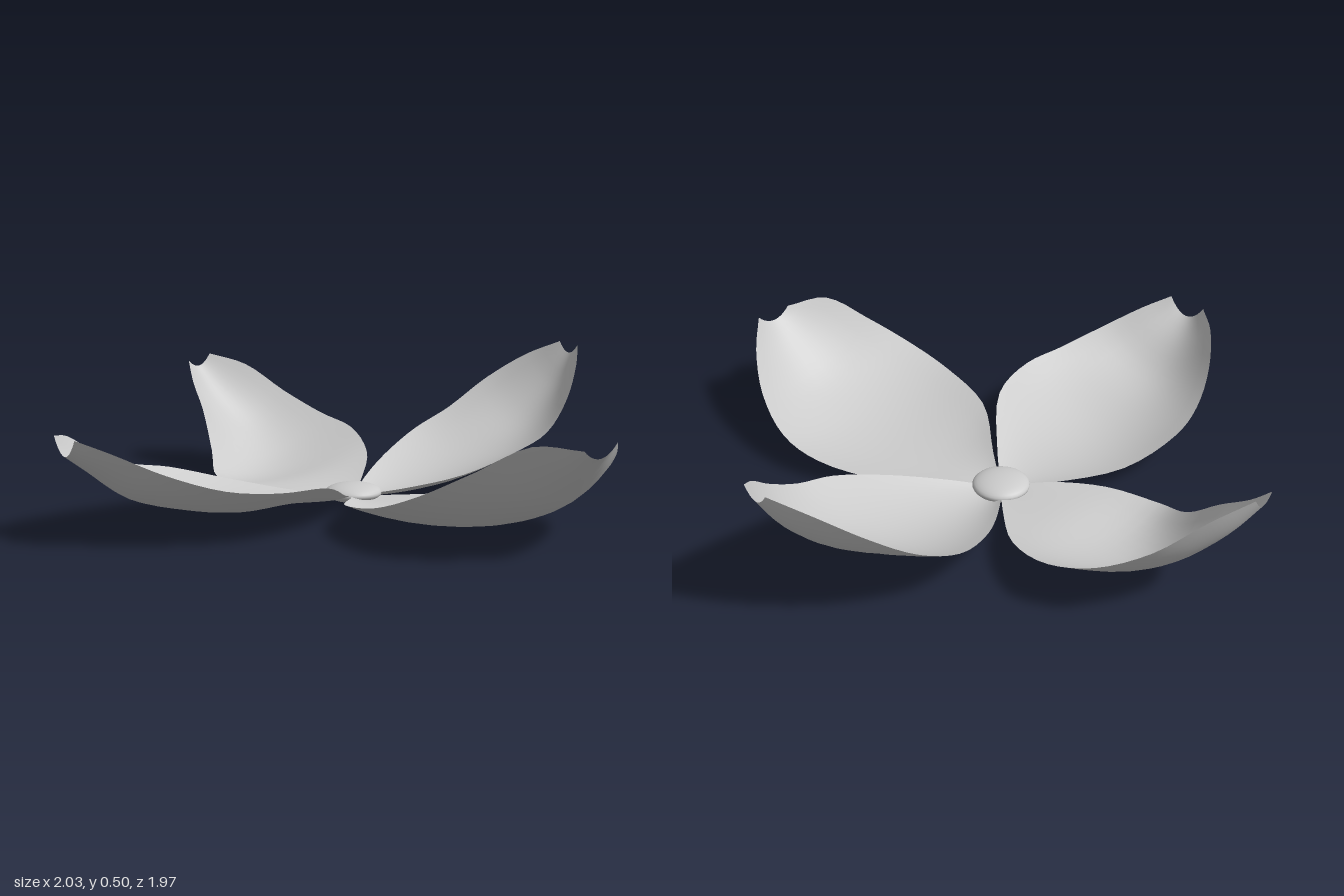
import * as THREE from 'three';

const CENTRE = new THREE.Vector3(-0.055, 0.02, -0.045);
// Stations along a petal, as fractions of its length
const STATIONS = [0.12, 0.3, 0.5, 0.65, 0.8, 0.92, 1];
const ROWS = 28, COLS = 12;

// Each petal: direction from above (degrees), length, half widths and heights
// of both rims, and heights of the sunken middle line, at every station
const PETALS = [
  {
    name: 'leftPetal', yaw: 15.8, length: 1.1,
    widthA: [0.107, 0.255, 0.335, 0.335, 0.27, 0.165, 0.06],
    widthB: [0.125, 0.316, 0.38, 0.365, 0.295, 0.21, 0.09],
    riseA: [0.03, 0.05, 0.08, 0.12, 0.2, 0.29, 0.355],
    riseB: [0.05, 0.09, 0.13, 0.19, 0.28, 0.36, 0.345],
    keel: [0.02, 0.015, 0.02, 0.05, 0.12, 0.23, 0.315],
  },
  {
    name: 'backPetal', yaw: -67.4, length: 1,
    widthA: [0.11, 0.235, 0.312, 0.298, 0.252, 0.155, 0.05],
    widthB: [0.118, 0.24, 0.29, 0.275, 0.213, 0.13, 0.05],
    riseA: [0.05, 0.1, 0.17, 0.24, 0.35, 0.445, 0.5],
    riseB: [0.05, 0.1, 0.17, 0.22, 0.32, 0.43, 0.495],
    keel: [0.015, 0.035, 0.085, 0.14, 0.22, 0.335, 0.46],
  },
  {
    name: 'rightPetal', yaw: 196.8, length: 0.985,
    widthA: [0.117, 0.213, 0.24, 0.165, 0.105, 0.07, 0.04],
    widthB: [0.139, 0.31, 0.39, 0.36, 0.285, 0.18, 0.06],
    riseA: [0.03, 0.035, 0.04, 0.11, 0.24, 0.33, 0.41],
    riseB: [0.05, 0.1, 0.16, 0.2, 0.28, 0.385, 0.43],
    keel: [0.03, 0.04, 0.03, 0.06, 0.15, 0.27, 0.385],
  },
  {
    name: 'frontPetal', yaw: 110.5, length: 1.07,
    widthA: [0.135, 0.3, 0.352, 0.315, 0.24, 0.15, 0.08],
    widthB: [0.12, 0.285, 0.345, 0.32, 0.255, 0.165, 0.07],
    riseA: [0.06, 0.14, 0.16, 0.18, 0.235, 0.3, 0.34],
    riseB: [0.03, 0.07, 0.13, 0.165, 0.235, 0.31, 0.335],
    keel: [0.02, 0.035, 0.04, 0.07, 0.12, 0.215, 0.28],
  },
];

// Smooth line from the flower's centre along one petal
function rail(petal, offset, rise) {
  const a = THREE.MathUtils.degToRad(petal.yaw);
  const points = STATIONS.map((s, i) => {
    const u = s * petal.length, w = offset(i);
    return new THREE.Vector3(
      CENTRE.x + u * Math.cos(a) - w * Math.sin(a),
      rise[i],
      CENTRE.z + u * Math.sin(a) + w * Math.cos(a));
  });
  return new THREE.CatmullRomCurve3([CENTRE.clone(), ...points]);
}

// Bowl-shaped sheet lofted through the two rims and the middle line
function petalGeometry(petal) {
  const { widthA, widthB } = petal;
  const rimA = rail(petal, (i) => -widthA[i], petal.riseA);
  const rimB = rail(petal, (i) => widthB[i], petal.riseB);
  const keel = rail(petal, (i) => (widthB[i] - widthA[i]) / 2, petal.keel);
  const position = [], index = [];
  for (let i = 0; i <= ROWS; i++) {
    const t = i / ROWS;
    const a = rimA.getPoint(t), b = rimB.getPoint(t);
    const control = keel.getPoint(t).multiplyScalar(2)
      .addScaledVector(a, -0.5).addScaledVector(b, -0.5);
    const section = new THREE.QuadraticBezierCurve3(a, control, b);
    for (let j = 0; j <= COLS; j++) {
      position.push(...section.getPoint(j / COLS).toArray());
      if (i < ROWS && j < COLS) {
        const p = i * (COLS + 1) + j, q = p + COLS + 1;
        index.push(p, p + 1, q, p + 1, q + 1, q);
      }
    }
  }
  const geometry = new THREE.BufferGeometry();
  geometry.setAttribute('position', new THREE.Float32BufferAttribute(position, 3));
  geometry.setIndex(index);
  geometry.computeVertexNormals();
  return geometry;
}

export function createModel() {
  const flower = new THREE.Group();
  flower.name = 'flower';
  const sheet = new THREE.MeshStandardMaterial({ color: 0xcccccc, side: THREE.DoubleSide });

  for (const petal of PETALS) {
    const mesh = new THREE.Mesh(petalGeometry(petal), sheet);
    mesh.name = petal.name;
    flower.add(mesh);
  }

  // Flattened button in the middle, showing above and below
  const button = new THREE.Mesh(
    new THREE.SphereGeometry(0.1, 32, 16),
    new THREE.MeshStandardMaterial({ color: 0xcccccc }));
  button.name = 'centreButton';
  button.scale.y = 0.33;
  button.position.set(CENTRE.x, 0.033, CENTRE.z);
  flower.add(button);

  return flower;
}
